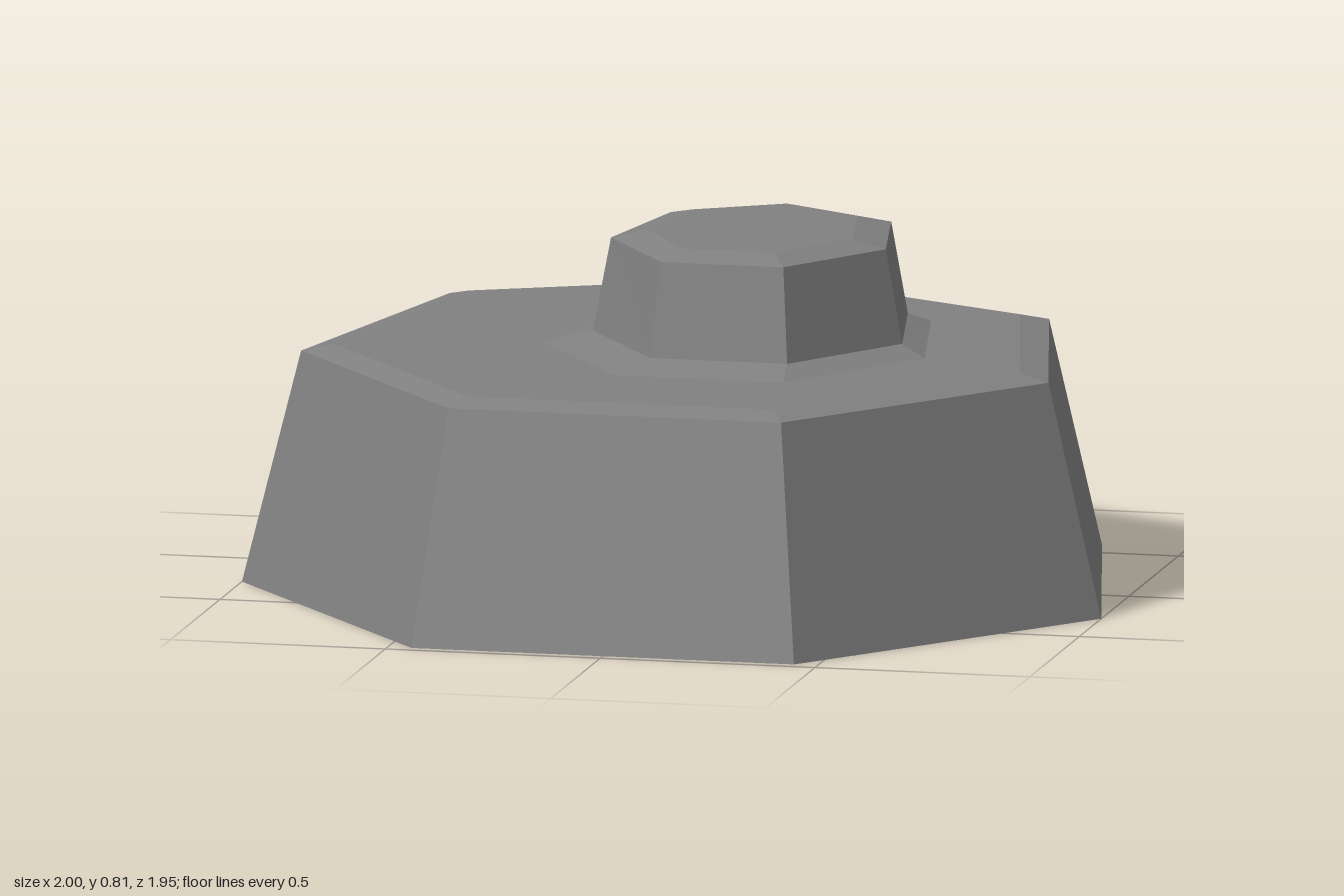
import * as THREE from 'three';

const SIDES = 7;

// One heptagon, first corner pointing to the back (-z)
function ring([y, rx, rz, cx, cz]) {
  return Array.from({ length: SIDES }, (_, i) => {
    const a = (i / SIDES) * Math.PI * 2;
    return [cx + rx * Math.sin(a), y, cz - rz * Math.cos(a)];
  });
}

// Faceted skin through rings from bottom to top, with optional end caps
function loft(sections, capBottom, capTop) {
  const rings = sections.map(ring);
  const pos = [];
  const tri = (...corners) => corners.forEach((c) => pos.push(...c));
  for (let k = 0; k + 1 < rings.length; k++) {
    for (let i = 0; i < SIDES; i++) {
      const j = (i + 1) % SIDES;
      const [a, b, c, d] = [rings[k][i], rings[k][j], rings[k + 1][j], rings[k + 1][i]];
      tri(a, c, b);
      tri(a, d, c);
    }
  }
  const first = rings[0], last = rings[rings.length - 1];
  for (let i = 1; i + 1 < SIDES; i++) {
    if (capBottom) tri(first[0], first[i], first[i + 1]);
    if (capTop) tri(last[0], last[i + 1], last[i]);
  }
  const geo = new THREE.BufferGeometry();
  geo.setAttribute('position', new THREE.Float32BufferAttribute(pos, 3));
  geo.computeVertexNormals();
  return geo;
}

export function createModel() {
  const group = new THREE.Group();
  const stone = new THREE.MeshStandardMaterial({ color: 0x808080, flatShading: true });
  stone.name = 'stone grey';

  const add = (name, geo) => {
    const mesh = new THREE.Mesh(geo, stone);
    mesh.name = name;
    group.add(mesh);
  };

  // Sections: y, x radius, z radius, centre x, centre z
  const skirtFoot = [0.55, 0.456, 0.526, 0.105, -0.01];
  const knobFoot = [0.575, 0.369, 0.434, 0.13, -0.021];

  // Wide tapered base with a bevelled rim and a flat ledge
  add('base', loft([
    [0, 1.0257, 1.0257, 0, 0.05],
    [0.533, 0.892, 0.892, 0, 0.048],
    [0.55, 0.82, 0.82, 0, 0.05],
    skirtFoot,
  ], true, false));

  // Shallow slope leading up to the upper block
  add('skirt', loft([skirtFoot, knobFoot], false, false));

  // Off-centre upper block with a bevelled top
  add('upperBlock', loft([
    knobFoot,
    [0.79, 0.328, 0.39, 0.13, -0.02],
    [0.81, 0.245, 0.308, 0.13, -0.012],
  ], false, true));

  return group;
}
